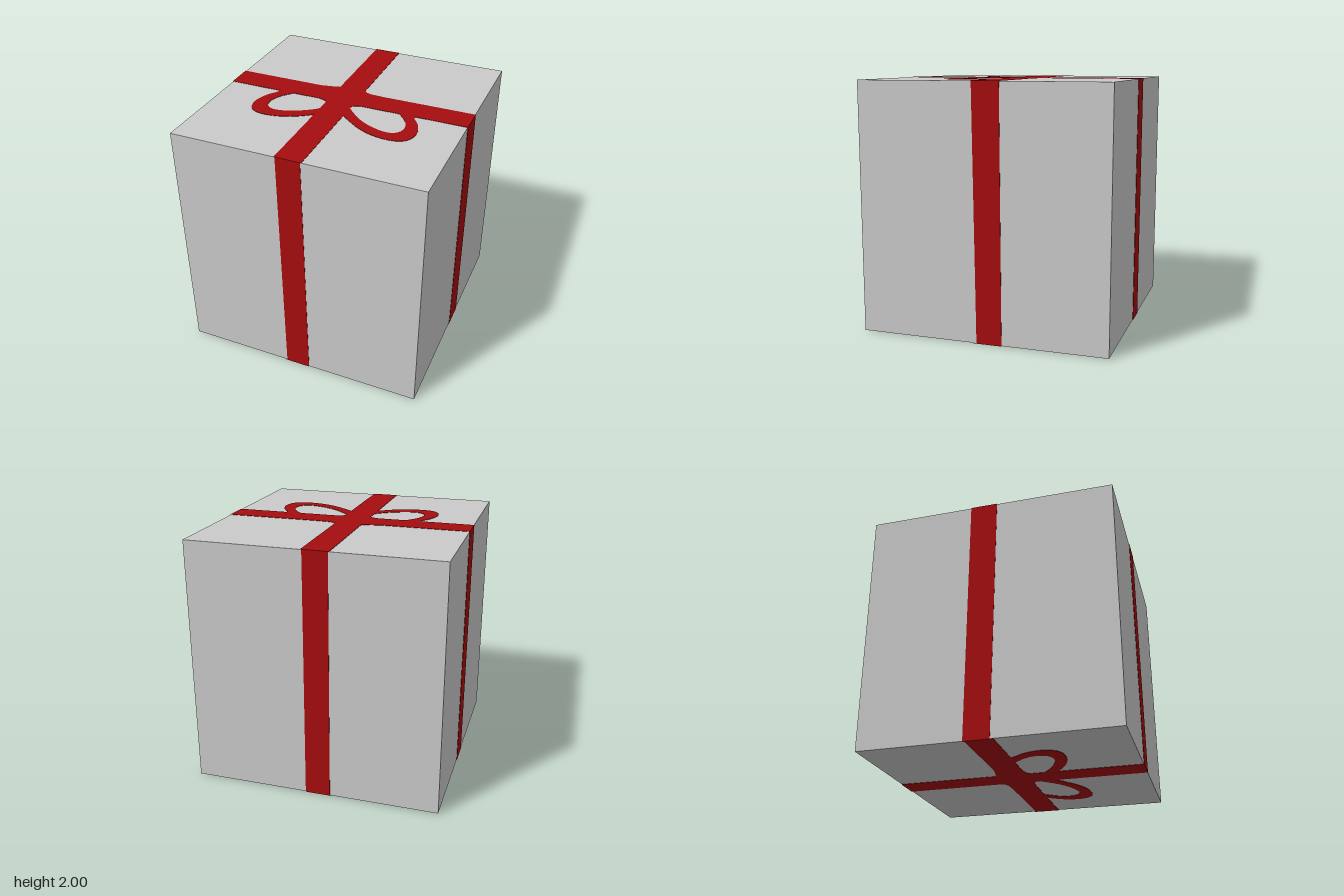
import * as THREE from 'three';

const PLATE = 0.003; // thickness of the ribbon on every side
const IN = 1 - PLATE;

export function createModel() {
  const group = new THREE.Group();
  const paper = new THREE.MeshStandardMaterial({ color: 0xcacaca });
  paper.name = 'greyPaper';
  const ribbon = new THREE.MeshStandardMaterial({ color: 0xa50d0e });
  ribbon.name = 'redRibbon';

  const add = (name, geometry, material) => {
    const mesh = new THREE.Mesh(geometry, material);
    mesh.name = name;
    group.add(mesh);
    return mesh;
  };
  const toVectors = (points) => points.map(([x, y]) => new THREE.Vector2(x, y));
  const extrude = (points) =>
    new THREE.ExtrudeGeometry(new THREE.Shape(points), { depth: PLATE, bevelEnabled: false });

  // Box body and lid, flush with each other
  const seam = 1.59;
  const block = (name, y0, y1) => {
    add(name, new THREE.BoxGeometry(2 * IN, y1 - y0, 2 * IN), paper).position.y = (y0 + y1) / 2;
  };
  block('boxBody', PLATE, seam);
  block('boxLid', seam, 2 - PLATE);

  // Upright ribbons, slightly skewed: [x, y] seen from the front or the right side
  const frontBand = toVectors([[-0.128, 0], [0.073, 0], [0.064, 2], [-0.134, 2]]);
  const sideBand = toVectors([[-0.037, 0], [0.166, 0], [0.155, 2], [-0.062, 2]]);
  add('frontRibbon', extrude(frontBand), ribbon).position.z = IN;
  add('backRibbon', extrude(frontBand), ribbon).position.z = -1;
  for (const [name, x] of [['leftRibbon', IN], ['rightRibbon', -1]]) {
    const mesh = add(name, extrude(sideBand), ribbon);
    mesh.rotation.y = Math.PI / 2;
    mesh.position.x = x;
  }

  // Crossed ribbons with a small flare around the knot, as [x, z]
  const cross = toVectors([
    [-0.142, -1], [0.073, -1], [0.073, -0.195], [0.09, -0.175], [0.13, -0.158], [0.25, -0.152],
    [1, -0.152], [1, 0.062], [0.14, 0.062], [0.1, 0.075], [0.073, 0.095],
    [0.073, 1], [-0.142, 1], [-0.142, 0.095], [-0.17, 0.075], [-0.22, 0.062],
    [-1, 0.062], [-1, -0.152], [-0.3, -0.152], [-0.2, -0.17], [-0.142, -0.185],
  ]);

  // One bow loop: outer edge out and inner edge back, as [x, z]
  const smooth = (points) => new THREE.SplineCurve(toVectors(points)).getPoints(32);
  const loop = [
    ...smooth([[0.03, 0.23], [0.12, 0.302], [0.24, 0.39], [0.36, 0.445], [0.48, 0.467], [0.585, 0.455],
      [0.65, 0.4], [0.672, 0.3], [0.64, 0.18], [0.575, 0.08], [0.585, 0.04]]),
    ...smooth([[0.43, 0.04], [0.462, 0.075], [0.53, 0.16], [0.56, 0.25], [0.545, 0.325], [0.49, 0.364],
      [0.41, 0.362], [0.3, 0.322], [0.2, 0.26], [0.12, 0.185], [0.065, 0.125], [0.03, 0.09]]),
  ];
  const mirrored = (points, side) =>
    points.map((p) => new THREE.Vector2(0.008 + side * p.x, p.y));

  // The same ribbon pattern lies on the lid and under the box
  const patterns = { Ribbon: cross, BowLoopLeft: mirrored(loop, 1), BowLoopRight: mirrored(loop, -1) };
  for (const [place, y] of [['top', 2 - PLATE], ['bottom', 0]]) {
    for (const [part, points] of Object.entries(patterns)) {
      const flat = points.map((p) => new THREE.Vector2(p.x, -p.y));
      const mesh = add(place + part, extrude(flat), ribbon);
      mesh.rotation.x = -Math.PI / 2;
      mesh.position.y = y;
    }
  }
  return group;
}
